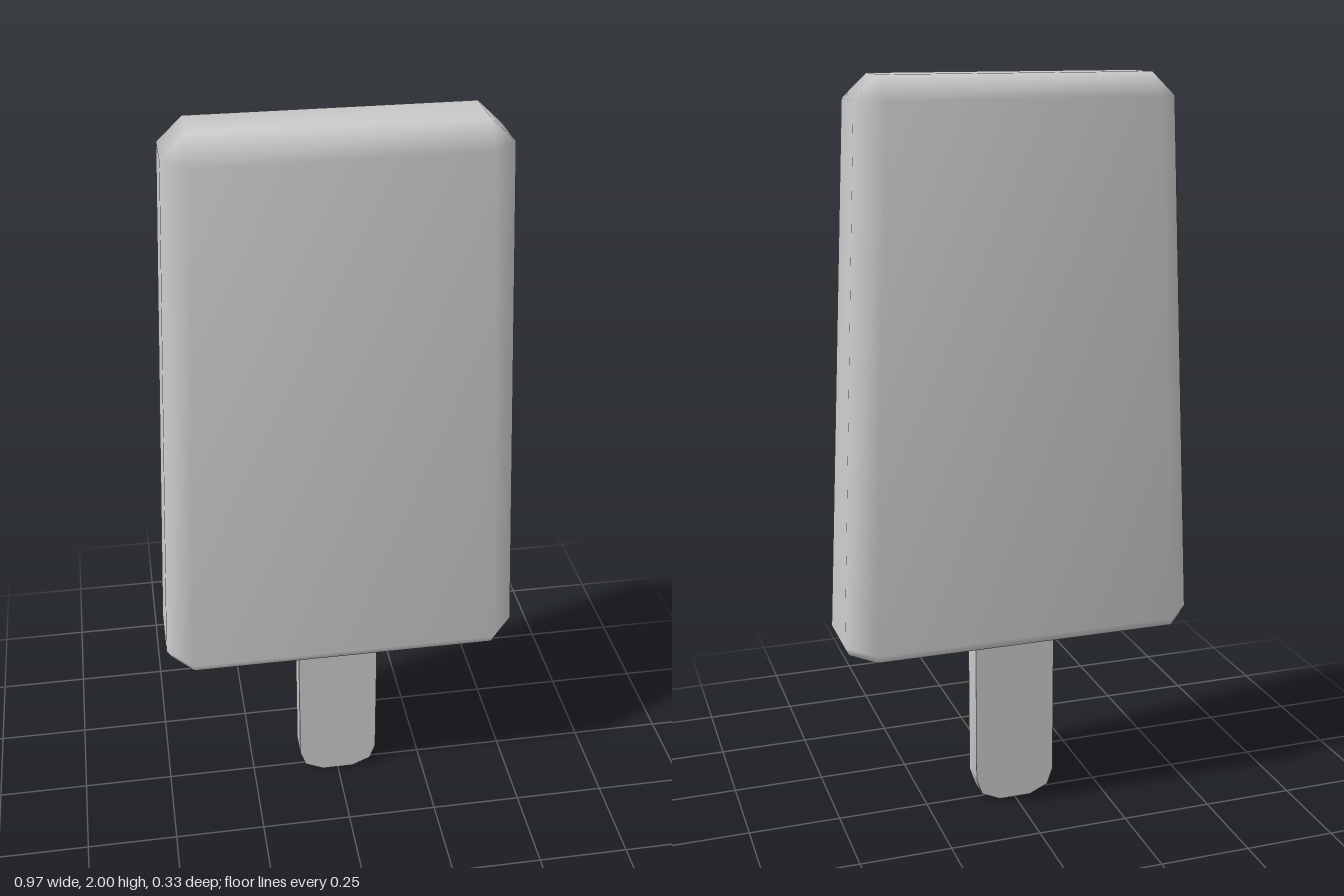
import * as THREE from 'three';
import { mergeVertices, toCreasedNormals } from 'three/addons/utils/BufferGeometryUtils.js';

const material = new THREE.MeshStandardMaterial({ color: 0xcccccc });

// Octagonal ring: half sizes hx, hz with corners cut back by cx, cz
function ring([y, hx, hz, cx, cz]) {
  const ix = hx - cx, iz = hz - cz;
  return [
    [hx, y, -iz], [hx, y, iz], [ix, y, hz], [-ix, y, hz],
    [-hx, y, iz], [-hx, y, -iz], [-ix, y, -hz], [ix, y, -hz],
  ];
}

// Closed solid through stacked rings, smooth shaded
function loft(levels) {
  const n = 8;
  const points = levels.flatMap(ring);
  const faces = [];
  for (let l = 0; l < levels.length - 1; l++) {
    for (let i = 0; i < n; i++) {
      const a = l * n + i, b = l * n + (i + 1) % n;
      faces.push(a, a + n, b, b, a + n, b + n);
    }
  }
  // End caps
  const top = (levels.length - 1) * n;
  for (let i = 1; i < n - 1; i++) {
    faces.push(0, i, i + 1, top, top + i + 1, top + i);
  }
  let geometry = new THREE.BufferGeometry();
  geometry.setAttribute('position', new THREE.Float32BufferAttribute(points.flat(), 3));
  geometry.setIndex(faces);
  geometry = mergeVertices(geometry);

  // Drop triangles that collapsed at the square-cornered top
  const index = geometry.index.array, kept = [];
  for (let i = 0; i < index.length; i += 3) {
    const [a, b, c] = [index[i], index[i + 1], index[i + 2]];
    if (a !== b && b !== c && c !== a) kept.push(a, b, c);
  }
  geometry.setIndex(kept);
  geometry.computeVertexNormals();
  return geometry;
}

export function createModel() {
  const group = new THREE.Group();
  group.name = 'icePop';

  // Tapered ice block: soft lower rim, chamfered top
  const block = new THREE.Mesh(loft([
    [0.508, 0.452, 0.128, 0.046, 0.059],
    [0.517, 0.476, 0.152, 0.06, 0.073],
    [0.54, 0.487, 0.163, 0.067, 0.08],
    [1.94, 0.42, 0.13, 0.064, 0.064],
    [2, 0.356, 0.066, 0, 0],
  ]), material);
  block.name = 'iceBlock';
  group.add(block);

  // Flat stick with rounded lower corners
  const half = [[0.045, 0], [0.097, 0.024], [0.113, 0.07], [0.113, 0.54]];
  const outline = [...half, ...half.map(([x, y]) => [-x, y]).reverse()];
  const shape = new THREE.Shape(outline.map(([x, y]) => new THREE.Vector2(x, y)));
  const stickGeometry = new THREE.ExtrudeGeometry(shape, { depth: 0.07, bevelEnabled: false });
  stickGeometry.translate(0, 0, -0.035);
  const stick = new THREE.Mesh(toCreasedNormals(stickGeometry, 0.9), material);
  stick.name = 'stick';
  group.add(stick);

  return group;
}
